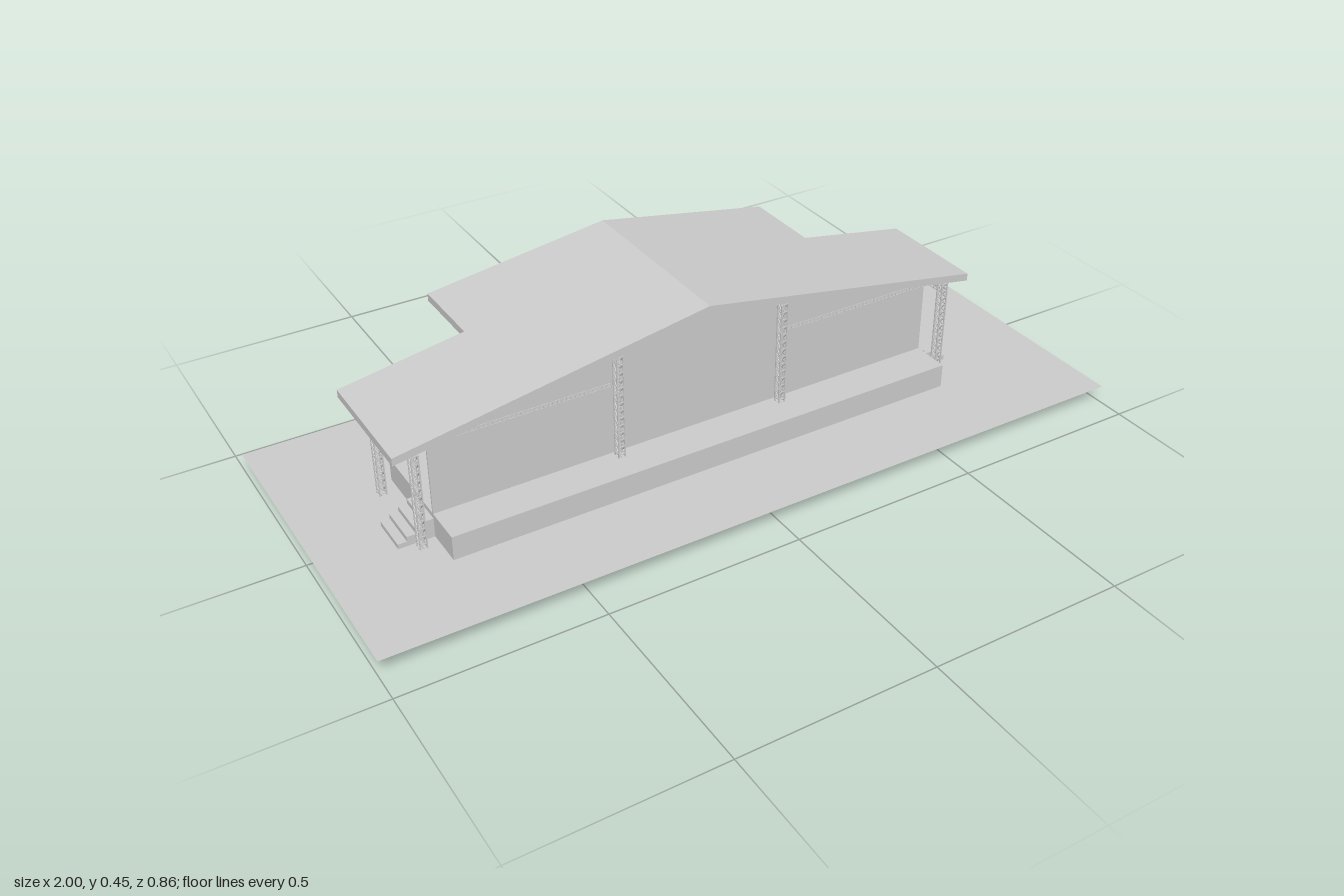
import * as THREE from 'three';
import { mergeGeometries } from 'three/addons/utils/BufferGeometryUtils.js';

const GROUND = 0.045, DECK = 0.108, RIDGE_X = -0.02, RIDGE_Y = 0.447;
const LEFT = -0.822, RIGHT = 0.762, SLAB = 0.02;
const POST_X = [-0.77, -0.26, 0.193, 0.69], FRONT_Z = 0.13, BACK_Z = -0.105;

// Height of the top of the roof at x
const roofY = x => RIDGE_Y - 0.137 * (x < RIDGE_X
  ? (RIDGE_X - x) / (RIDGE_X - LEFT) : (x - RIDGE_X) / (RIGHT - RIDGE_X));

const V = (x, y, z) => new THREE.Vector3(x, y, z);
const UP = V(0, 1, 0);

// Square bar between two points
function bar(a, b, t) {
  const d = b.clone().sub(a), g = new THREE.BoxGeometry(t, d.length(), t);
  g.applyQuaternion(new THREE.Quaternion().setFromUnitVectors(UP, d.normalize()));
  const m = a.clone().add(b).multiplyScalar(0.5);
  return g.translate(m.x, m.y, m.z);
}

// Box lattice of four chords, rungs and diagonals between two points
function lattice(a, b, w, t = 0.003) {
  const d = b.clone().sub(a), len = d.length(), h = w / 2 - t / 2;
  const n = Math.max(1, Math.round(len / (w * 1.05))), parts = [];
  const corners = [[-h, -h], [h, -h], [h, h], [-h, h]];
  corners.forEach(([x, z], i) => {
    const [x2, z2] = corners[(i + 1) % 4];
    parts.push(bar(V(x, 0, z), V(x, len, z), t));
    for (let k = 0; k <= n; k++) {
      const y = len * k / n;
      parts.push(bar(V(x, y, z), V(x2, y, z2), t * 0.7));
      if (k < n) parts.push(bar(V(x, y, z), V(x2, len * (k + 1) / n, z2), t * 0.7));
    }
  });
  const g = mergeGeometries(parts);
  g.applyQuaternion(new THREE.Quaternion().setFromUnitVectors(UP, d.normalize()));
  return g.translate(a.x, a.y, a.z);
}

export function createModel() {
  const model = new THREE.Group();
  const mat = new THREE.MeshStandardMaterial({ color: 0xcccccc, flatShading: true, side: THREE.DoubleSide });
  const add = (name, geo) => {
    const m = new THREE.Mesh(geo, mat);
    m.name = name;
    model.add(m);
    return m;
  };
  const block = (name, x0, x1, y0, y1, z0, z1) =>
    add(name, new THREE.BoxGeometry(x1 - x0, y1 - y0, z1 - z0)
      .translate((x0 + x1) / 2, (y0 + y1) / 2, (z0 + z1) / 2));

  // Ground sheet
  add('ground', new THREE.PlaneGeometry(2, 0.86).rotateX(-Math.PI / 2).translate(0, GROUND, 0));

  // Stage: wide main deck with a narrower apron behind
  block('mainDeck', -0.73, 0.645, GROUND, DECK, -0.145, 0.21);
  block('backDeck', -0.45, 0.365, GROUND, DECK, -0.31, -0.145);

  // Stairs descending outwards from each deck end
  const stairs = (name, x, dir, z0, z1) => {
    const steps = 4, run = 0.09 / steps, rise = (DECK - GROUND) / (steps + 1);
    for (let i = 0; i < steps; i++) {
      const a = x + dir * run * i, b = a + dir * run;
      block(name, Math.min(a, b), Math.max(a, b), GROUND, DECK - rise * (i + 1), z0, z1);
    }
  };
  stairs('leftSideStairs', 0.645, 1, 0.01, 0.11);
  stairs('rightSideStairs', -0.73, -1, 0.01, 0.11);
  stairs('leftBackStairs', 0.365, 1, -0.31, -0.145);
  stairs('rightBackStairs', -0.45, -1, -0.31, -0.145);

  // Gabled wall reaching up to the roof
  const under = x => roofY(x) - SLAB;
  const wall = new THREE.Shape([
    [-0.73, DECK], [0.645, DECK], [0.645, under(0.645)], [RIDGE_X, under(RIDGE_X)], [-0.73, under(-0.73)],
  ].map(p => new THREE.Vector2(...p)));
  add('wall', new THREE.ExtrudeGeometry(wall, { depth: 0.005, bevelEnabled: false }).translate(0, 0, 0.105));

  // Roof halves: plan outline extruded upwards, then sheared to the slope
  const roofHalf = (name, plan) => {
    const shape = new THREE.Shape(plan.map(([x, z]) => new THREE.Vector2(x, -z)));
    const g = new THREE.ExtrudeGeometry(shape, { depth: SLAB, bevelEnabled: false }).rotateX(-Math.PI / 2);
    const p = g.attributes.position;
    for (let i = 0; i < p.count; i++) p.setY(i, p.getY(i) - SLAB + roofY(p.getX(i)));
    g.computeVertexNormals();
    add(name, g);
  };
  roofHalf('rightRoof', [[LEFT, 0.14], [RIDGE_X, 0.14], [RIDGE_X, -0.374], [-0.5, -0.393], [-0.5, -0.18], [LEFT, -0.18]]);
  roofHalf('leftRoof', [[RIDGE_X, 0.14], [RIGHT, 0.14], [RIGHT, -0.158], [0.46, -0.158], [0.46, -0.374], [RIDGE_X, -0.374]]);

  // Lattice posts and the cross beams joining each pair
  POST_X.forEach((x, i) => {
    const top = under(x) - 0.003;
    add('frontPost', lattice(V(x, 0.035, FRONT_Z), V(x, top, FRONT_Z), 0.02));
    add('backPost', lattice(V(x, i === 3 ? 0 : 0.03, BACK_Z), V(x, top, BACK_Z), 0.02));
    add('crossBeam', lattice(V(x, top - 0.02, BACK_Z), V(x, top - 0.02, FRONT_Z), 0.013, 0.002));
  });

  // Sloping rafters under the roof
  for (const z of [BACK_Z, 0.09]) {
    for (const x of [POST_X[0], POST_X[3]]) {
      add('rafter', lattice(V(x, under(x) - 0.01, z), V(RIDGE_X, under(RIDGE_X) - 0.01, z), 0.016, 0.002));
    }
  }
  for (const z of [-0.02, -0.19, -0.28, -0.355]) {
    const ends = z < -0.15 ? [-0.48, 0.44] : [POST_X[0], POST_X[3]];
    for (const x of ends) {
      add('rafter', bar(V(x, under(x) - 0.004, z), V(RIDGE_X, under(RIDGE_X) - 0.004, z), 0.005));
    }
  }

  // Purlins running front to back
  for (let i = 0; i <= 12; i++) {
    const x = POST_X[0] + (POST_X[3] - POST_X[0]) * i / 12, y = under(x) - 0.004;
    const back = x > -0.49 && x < 0.45 ? -0.365 : -0.15;
    add('purlin', bar(V(x, y, 0.1), V(x, y, back), 0.005));
  }

  // Tie beams along the face of the wall's outer bays
  for (const [a, b] of [[-0.73, -0.27], [0.2, 0.645]]) {
    add('wallTie', lattice(V(a, 0.298, 0.106), V(b, 0.298, 0.106), 0.011, 0.002));
  }
  return model;
}
